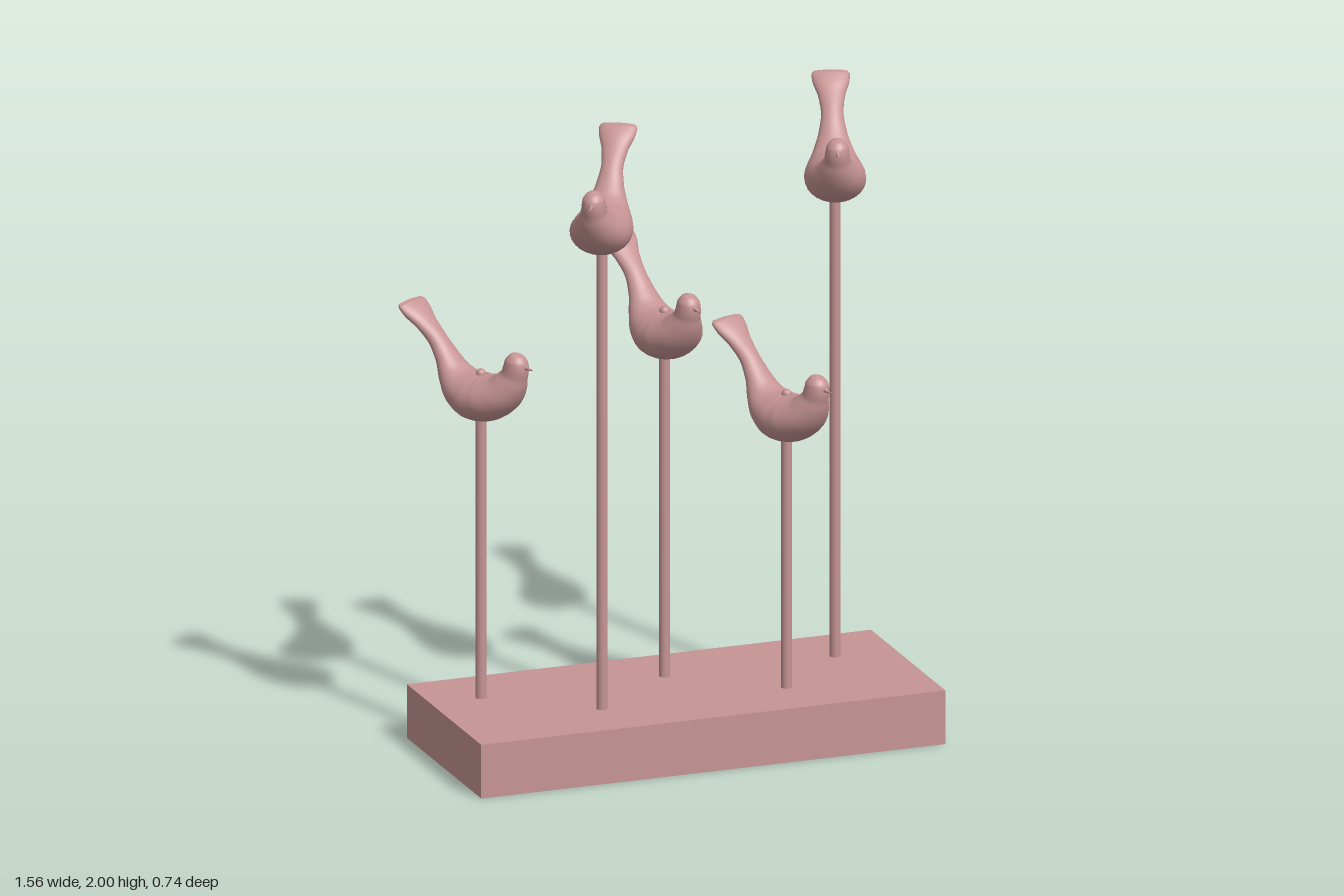
import * as THREE from 'three';

const material = new THREE.MeshStandardMaterial({ color: 0xc69494 });

// Spine of a bird from crown to tail tip: z, y, half width, half thickness
const SPINE = [
  [0.148, 0.250, 0.001, 0.001], [0.147, 0.243, 0.020, 0.022], [0.146, 0.225, 0.034, 0.037],
  [0.145, 0.202, 0.038, 0.042], [0.139, 0.178, 0.041, 0.043], [0.126, 0.150, 0.055, 0.051],
  [0.092, 0.110, 0.079, 0.062], [0.040, 0.083, 0.095, 0.073], [-0.010, 0.077, 0.096, 0.075],
  [-0.065, 0.095, 0.084, 0.064], [-0.102, 0.126, 0.065, 0.048], [-0.137, 0.175, 0.045, 0.032],
  [-0.180, 0.228, 0.035, 0.025], [-0.225, 0.269, 0.042, 0.023], [-0.262, 0.300, 0.057, 0.023],
  [-0.283, 0.319, 0.060, 0.019], [-0.292, 0.328, 0.052, 0.010], [-0.295, 0.331, 0.001, 0.001],
];

// Smooth loft of elliptical rings square to the spine
function birdGeometry(rings = 85, sides = 28) {
  const centre = new THREE.CatmullRomCurve3(SPINE.map(([z, y]) => new THREE.Vector3(0, y, z)));
  const size = new THREE.CatmullRomCurve3(SPINE.map(([, , w, h]) => new THREE.Vector3(w, h, 0)));
  const positions = [], index = [];
  for (let i = 0; i <= rings; i++) {
    const t = i / rings;
    const c = centre.getPoint(t), s = size.getPoint(t), d = centre.getTangent(t);
    const w = Math.max(s.x, 0.0005), h = Math.max(s.y, 0.0005);
    for (let j = 0; j < sides; j++) {
      const a = (j / sides) * Math.PI * 2;
      const k = h * Math.sin(a);
      positions.push(w * Math.cos(a), c.y - d.z * k, c.z + d.y * k);
      if (i < rings) {
        const n = (j + 1) % sides;
        const p = i * sides + j, q = i * sides + n;
        index.push(p, p + sides, q, q, p + sides, q + sides);
      }
    }
  }
  const g = new THREE.BufferGeometry();
  g.setAttribute('position', new THREE.Float32BufferAttribute(positions, 3));
  g.setIndex(index);
  g.computeVertexNormals();
  return g;
}

function part(name, geometry, parent, x = 0, y = 0, z = 0) {
  const mesh = new THREE.Mesh(geometry, material);
  mesh.name = name;
  mesh.position.set(x, y, z);
  parent.add(mesh);
  return mesh;
}

export function createModel() {
  const model = new THREE.Group();
  model.name = 'birdsOnPoles';

  // Base block
  const baseTop = 0.175;
  part('base', new THREE.BoxGeometry(1.54, baseTop, 0.65), model, 0.005, baseTop / 2, 0.041);

  const body = birdGeometry();
  const beak = new THREE.ConeGeometry(0.009, 0.04, 12).rotateX(Math.PI / 2);
  const tip = new THREE.SphereGeometry(0.016, 16, 10);

  // Each bird: pole x, pole z, underside height, heading in degrees
  const birds = [
    [-0.597, -0.08, 1.08, 28],
    [-0.285, 0.157, 1.66, -31],
    [0.012, -0.08, 1.213, 10],
    [0.326, 0.16, 0.98, 19.5],
    [0.578, -0.08, 1.66, -18],
  ];
  for (const [x, z, y, heading] of birds) {
    // Pole runs through the bird and shows as a small rounded tip on its back
    const length = y + 0.15 - baseTop;
    part('pole', new THREE.CylinderGeometry(0.0175, 0.0175, length, 20), model, x, baseTop + length / 2, z);
    part('poleTip', tip, model, x, y + 0.152, z);

    const bird = new THREE.Group();
    bird.name = 'bird';
    bird.position.set(x, y, z);
    bird.rotation.y = THREE.MathUtils.degToRad(heading);
    part('birdBody', body, bird);
    part('beak', beak, bird, 0, 0.208, 0.198).rotation.x = 0.1;
    model.add(bird);
  }
  return model;
}
